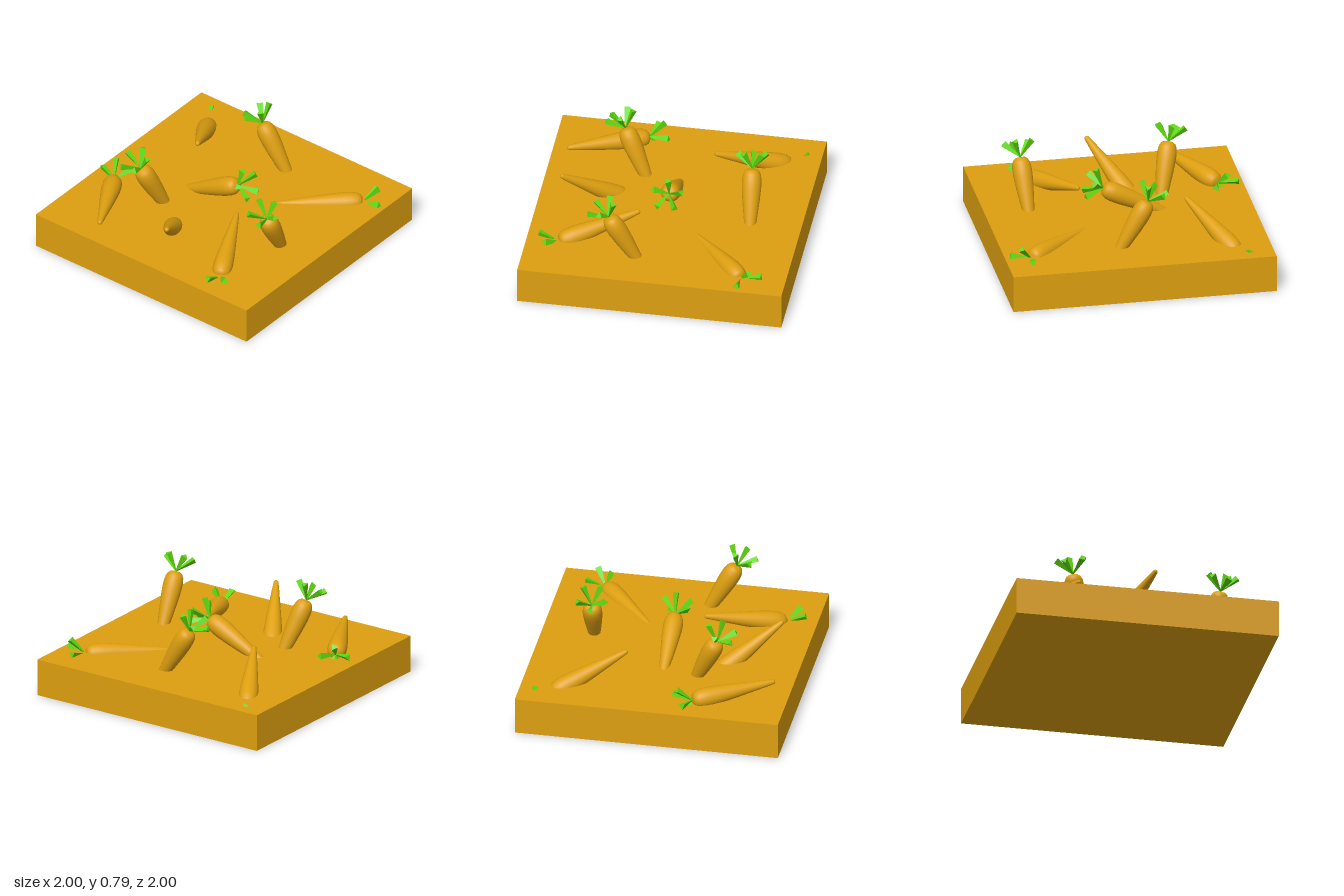
import * as THREE from 'three';

const SOIL_HEIGHT = 0.285;
const LEAF_COUNT = 5;

// Root profile as [radius, height], from the tip up to the crown at the origin
const ROOT_PROFILE = [
  [0, -0.65], [0.012, -0.648], [0.018, -0.638], [0.026, -0.58], [0.04, -0.46],
  [0.054, -0.34], [0.066, -0.23], [0.073, -0.14], [0.073, -0.085], [0.067, -0.045],
  [0.054, -0.018], [0.034, -0.004], [0, 0],
];

// Each carrot: crown position, direction from crown to tip, turn of the leaves in degrees
const CARROTS = [
  { name: 'backLeftLyingCarrot', crown: [-0.31, 0.31, -0.8], toTip: [-0.57, 0.05, 0.31], turn: 152 },
  { name: 'backLeftUprightCarrot', crown: [-0.43, 0.63, -0.45], toTip: [0.27, -0.575, 0.135], turn: -68 },
  { name: 'leftUpturnedCarrot', crown: [-0.36, 0.18, -0.18], toTip: [-0.46, 0.35, 0.28], turn: 149 },
  { name: 'frontLeftLyingCarrot', crown: [-0.76, 0.265, 0.56], toTip: [0.58, 0.15, -0.29], turn: 153 },
  { name: 'frontLeftUprightCarrot', crown: [-0.36, 0.63, 0.69], toTip: [0.317, -0.567, -0.04], turn: 90 },
  { name: 'centreCarrot', crown: [0, 0.49, 0.13], toTip: [0, -0.29, -0.58], turn: -90 },
  { name: 'backRightUpturnedCarrot', crown: [0.77, 0.225, -0.75], toTip: [-0.52, 0.25, 0.3], turn: 150 },
  { name: 'rightUprightCarrot', crown: [0.59, 0.63, -0.1], toTip: [0.033, -0.56, 0.33], turn: -98 },
  { name: 'frontRightLyingCarrot', crown: [0.66, 0.27, 0.8], toTip: [-0.42, 0, -0.48], turn: 228 },
];

export function createModel() {
  const model = new THREE.Group();
  model.name = 'carrotPatch';

  const orange = new THREE.MeshStandardMaterial({ color: 0xdd9f10 });
  const green = new THREE.MeshStandardMaterial({ color: 0x5fd80f, flatShading: true });

  // Ground slab
  const soil = new THREE.Mesh(new THREE.BoxGeometry(2, SOIL_HEIGHT, 2), orange);
  soil.name = 'soil';
  soil.position.y = SOIL_HEIGHT / 2;
  model.add(soil);

  const rootGeometry = new THREE.LatheGeometry(
    ROOT_PROFILE.map(([r, y]) => new THREE.Vector2(r, y)), 28);

  // Three-sided wedge, narrow at the crown and splayed outward
  const leafGeometry = new THREE.CylinderGeometry(0.029, 0.004, 0.165, 3)
    .translate(0, 0.078, 0)
    .rotateZ(-Math.PI / 4);

  const up = new THREE.Vector3(0, 1, 0);
  for (const { name, crown, toTip, turn } of CARROTS) {
    const carrot = new THREE.Group();
    carrot.name = name;
    carrot.position.set(...crown);
    carrot.quaternion.setFromUnitVectors(up, new THREE.Vector3(...toTip).normalize().negate());

    const root = new THREE.Mesh(rootGeometry, orange);
    root.name = 'root';
    carrot.add(root);

    // Ring of leaves around the crown
    for (let i = 0; i < LEAF_COUNT; i++) {
      const leaf = new THREE.Mesh(leafGeometry, green);
      leaf.name = 'leaf';
      leaf.rotation.y = -THREE.MathUtils.degToRad(turn + (i * 360) / LEAF_COUNT);
      carrot.add(leaf);
    }
    model.add(carrot);
  }
  return model;
}
